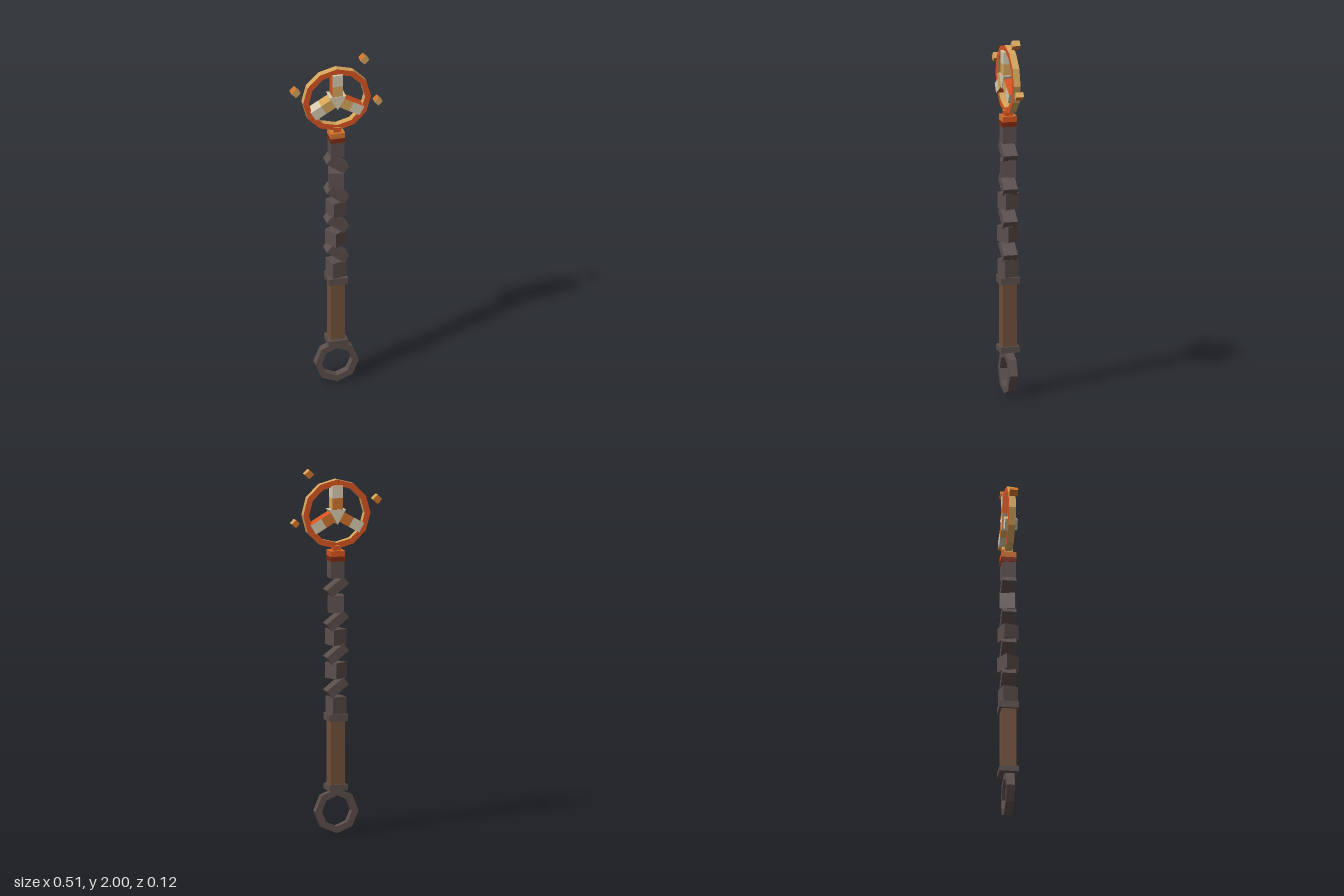
import * as THREE from 'three';

const mat = (name, hex) => {
  const m = new THREE.MeshStandardMaterial({ color: hex });
  m.name = name;
  return m;
};

export function createModel() {
  const root = new THREE.Group();
  root.name = 'staff';

  const iron = mat('dark iron', 0x5a4e4b);
  const wood = mat('brown wood', 0x70503a);
  const red = mat('red orange', 0xd9531f);
  const gold = mat('gold', 0xd6a55c);
  const cream = mat('cream', 0xd6cab0);
  const orange = mat('orange', 0xd0742c);
  const ember = mat('dark red', 0x7c2a12);

  const add = (name, geo, material, x = 0, y = 0, z = 0, parent = root) => {
    const m = new THREE.Mesh(geo, material);
    m.name = name;
    m.position.set(x, y, z);
    parent.add(m);
    return m;
  };
  // box given by its bottom and top heights
  const block = (name, w, y0, y1, d, material, parent = root) =>
    add(name, new THREE.BoxGeometry(w, y1 - y0, d), material, 0, (y0 + y1) / 2, 0, parent);

  // regular polygon points, first corner at angle a0
  const polygon = (n, r, a0) => Array.from({ length: n }, (_, i) => {
    const a = a0 + (i / n) * Math.PI * 2;
    return new THREE.Vector2(Math.cos(a) * r, Math.sin(a) * r);
  });
  const prism = (n, r, hole, depth, a0) => {
    const shape = new THREE.Shape(polygon(n, r, a0));
    if (hole) shape.holes.push(new THREE.Path(polygon(n, hole, a0)));
    return new THREE.ExtrudeGeometry(shape, { depth, bevelEnabled: false })
      .translate(0, 0, -depth / 2);
  };

  // pommel ring, grip and its collars
  add('pommelRing', prism(8, 0.122, 0.085, 0.046, 0), iron, 0, 0.122);
  block('lowerCollar', 0.106, 0.237, 0.27, 0.106, iron);
  block('grip', 0.08, 0.27, 0.617, 0.08, wood);
  block('upperCollar', 0.106, 0.617, 0.655, 0.106, iron);

  // twisted shaft: upright blocks turned about y, tilted slabs between them
  const turns = [13, 31, 19, -13, 0];
  const bottoms = [0.655, 0.85, 1.033, 1.213, 1.4];
  const tops = [0.75, 0.937, 1.12, 1.305, 1.497];
  turns.forEach((deg, i) => {
    const s = i === 4 ? 0.076 : 0.084;
    block('shaftBlock', s, bottoms[i], tops[i], s, iron).rotation.y = THREE.MathUtils.degToRad(deg);
    if (i < 4) {
      const slab = add('tiltedSlab', new THREE.BoxGeometry(0.12, 0.05, 0.078), iron,
        0, (tops[i] + bottoms[i + 1]) / 2);
      slab.rotation.z = THREE.MathUtils.degToRad(-38);
    }
  });

  // glowing socket below the wheel (faces: +x, -x, +y, -y, +z, -z)
  block('socketBase', 0.082, 1.493, 1.52, 0.082, ember);
  block('socketTop', 0.08, 1.52, 1.551, 0.08, [red, orange, orange, ember, orange, red]);
  block('neck', 0.042, 1.551, 1.58, 0.05, [red, gold, gold, red, red, red]);

  // wheel
  const wheel = new THREE.Group();
  wheel.name = 'wheel';
  wheel.position.y = 1.75;
  root.add(wheel);
  add('rim', prism(12, 0.19, 0.157, 0.038, Math.PI / 2), [red, gold], 0, 0, 0, wheel);
  add('hub', prism(3, 0.054, 0, 0.074, -Math.PI / 2), cream, 0, 0, 0, wheel);
  for (let i = 0; i < 3; i++) {
    const spoke = new THREE.Group();
    spoke.name = 'spoke';
    spoke.rotation.z = (i * Math.PI * 2) / 3;
    wheel.add(spoke);
    block('innerSpoke', 0.058, 0.02, 0.09, 0.068, [gold, red, gold, gold, gold, orange], spoke);
    block('outerSpoke', 0.058, 0.09, 0.157, 0.068, [cream, red, cream, cream, cream, cream], spoke);
  }

  // floating sparks
  const sparkFaces = [gold, orange, orange, orange, gold, orange];
  [[0.155, 1.975, 0.036], [-0.23, 1.822, 0.037], [0.232, 1.707, 0.032]].forEach(([x, y, s]) => {
    add('spark', new THREE.BoxGeometry(s, s, 0.044), sparkFaces, x, y).rotation.z = Math.PI / 4;
  });

  return root;
}
